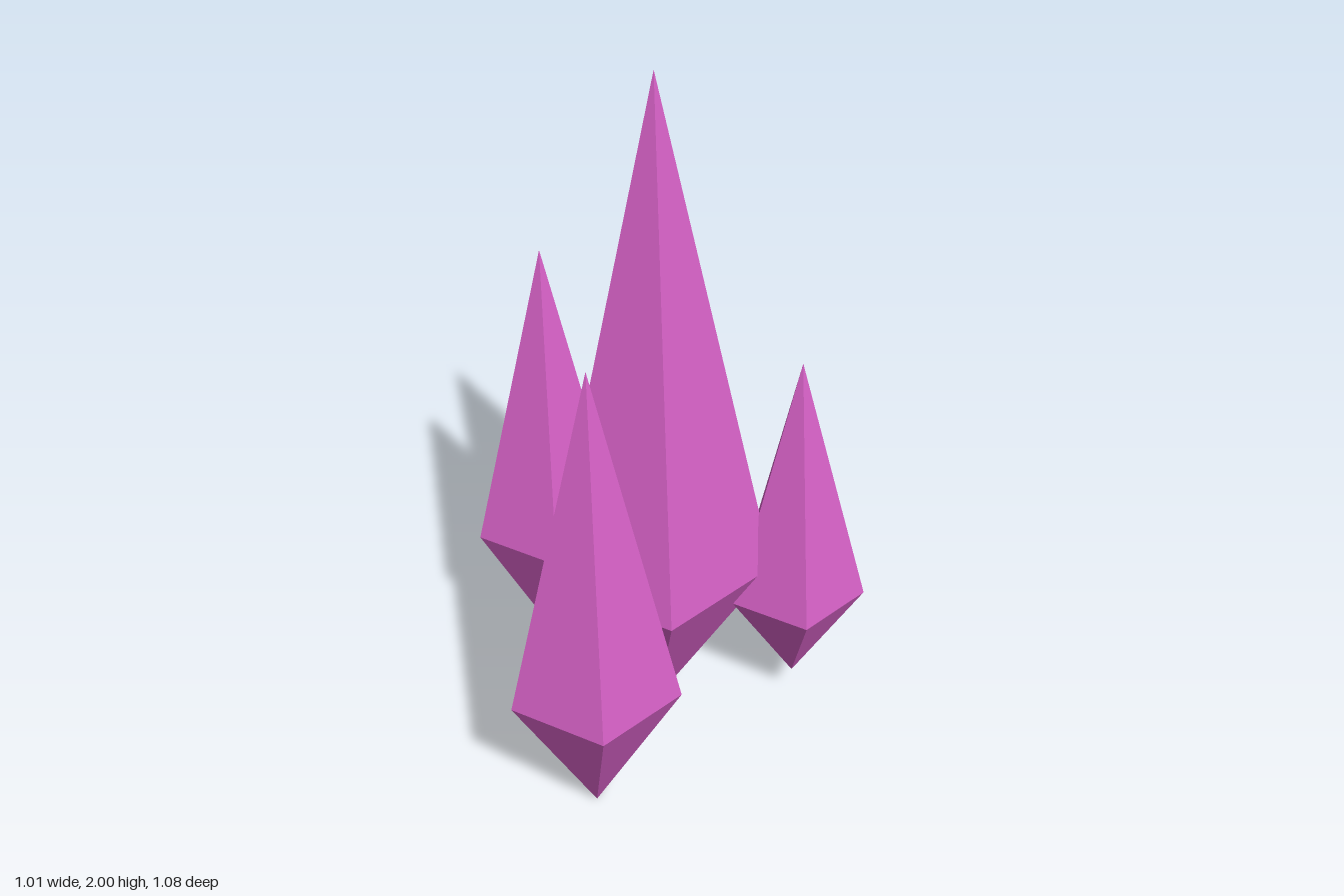
import * as THREE from 'three';

// Five-sided crystals: centre, radius, and the heights of base tip, girdle and peak
const CRYSTALS = [
  { name: 'mainCrystal', x: -0.045, z: -0.059, radius: 0.313, base: 0, girdle: 0.53, peak: 2 },
  { name: 'frontLeftCrystal', x: -0.254, z: 0.31, radius: 0.23, base: 0, girdle: 0.424, peak: 1.42 },
  { name: 'backLeftCrystal', x: -0.307, z: -0.374, radius: 0.208, base: 0, girdle: 0.424, peak: 1.315 },
  { name: 'rightCrystal', x: 0.324, z: -0.006, radius: 0.187, base: 0.11, girdle: 0.424, peak: 1.16 },
];

// Double-ended pyramid with one edge facing +z and hard facets
function crystalGeometry({ radius, base, girdle, peak }) {
  const profile = [[0, base], [radius, girdle], [0, peak]].map(([r, y]) => new THREE.Vector2(r, y));
  const geometry = new THREE.LatheGeometry(profile, 5).toNonIndexed();
  geometry.computeVertexNormals();
  return geometry;
}

export function createModel() {
  const group = new THREE.Group();
  group.name = 'crystalCluster';
  const crystalPink = new THREE.MeshStandardMaterial({ color: 0xd661c6, flatShading: true });
  crystalPink.name = 'crystalPink';

  for (const crystal of CRYSTALS) {
    const mesh = new THREE.Mesh(crystalGeometry(crystal), crystalPink);
    mesh.name = crystal.name;
    mesh.position.set(crystal.x, 0, crystal.z);
    group.add(mesh);
  }
  return group;
}
